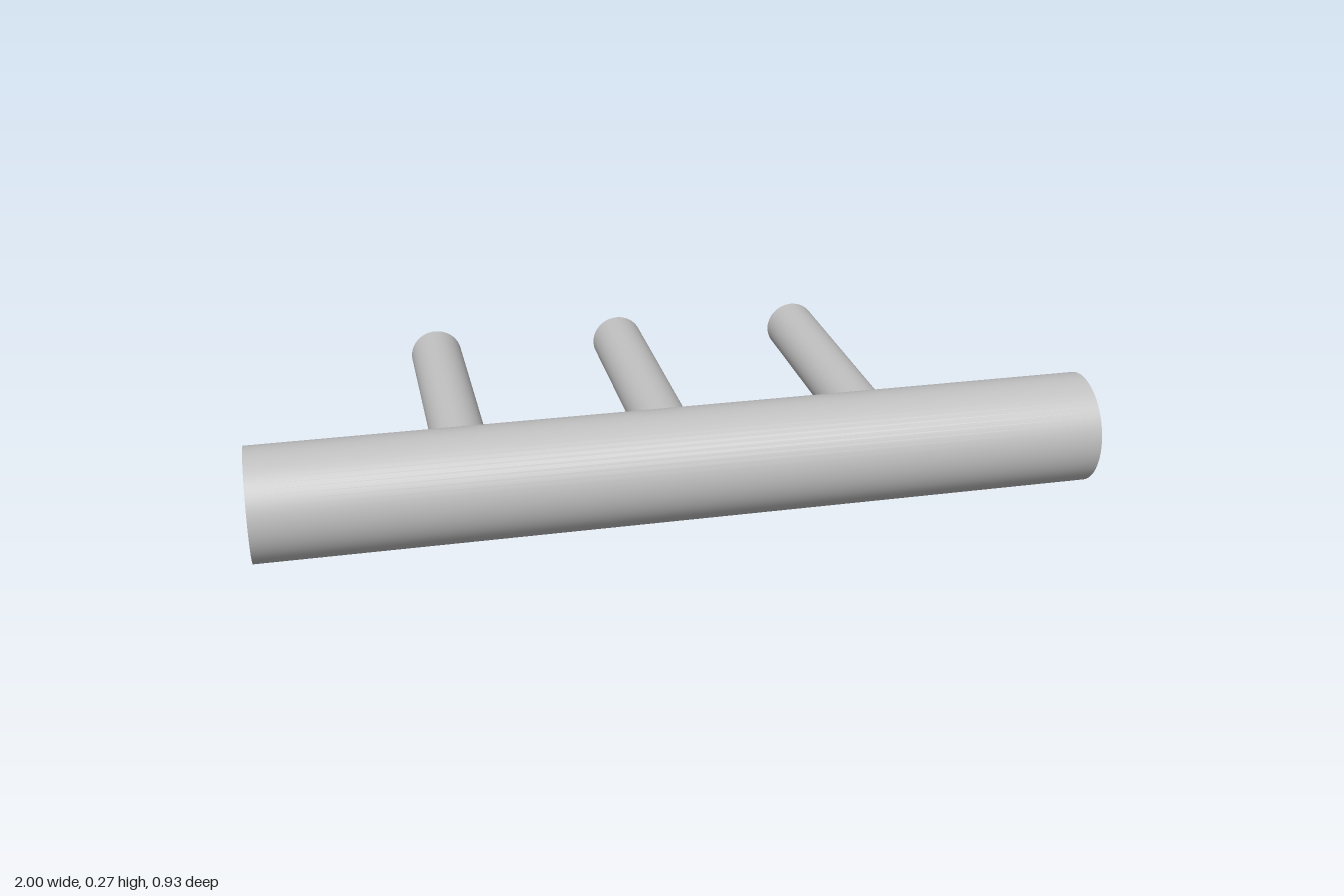
import * as THREE from 'three';

export function createModel() {
  const model = new THREE.Group();
  model.name = 'pipeManifold';

  const steel = new THREE.MeshStandardMaterial({ color: 0xc0c0c0, side: THREE.DoubleSide });
  steel.name = 'steel grey';

  const headerRadius = 0.1333, headerZ = 0.3333;
  const branchRadius = 0.0667, backZ = -0.4667;

  const add = (name, geometry, x, y, z) => {
    const mesh = new THREE.Mesh(geometry, steel);
    mesh.name = name;
    mesh.position.set(x, y, z);
    model.add(mesh);
  };

  // Main pipe along x, open at its right end
  const header = new THREE.CylinderGeometry(headerRadius, headerRadius, 2, 64, 1, true);
  add('headerPipe', header.rotateZ(Math.PI / 2), 0, headerRadius, headerZ);

  // Flat disc closing the left end
  const cap = new THREE.CircleGeometry(headerRadius, 64);
  add('headerEndCap', cap.rotateY(Math.PI / 2), 1, headerRadius, headerZ);

  // Three open branch pipes running back, rooted just inside the header wall
  const rootZ = 0.23;
  const branch = new THREE.CylinderGeometry(branchRadius, branchRadius, rootZ - backZ, 48, 1, true);
  branch.rotateX(Math.PI / 2);
  for (const [name, x] of [['rightBranch', -0.5], ['middleBranch', 0], ['leftBranch', 0.5]]) {
    add(name, branch, x, headerRadius, (rootZ + backZ) / 2);
  }

  return model;
}
